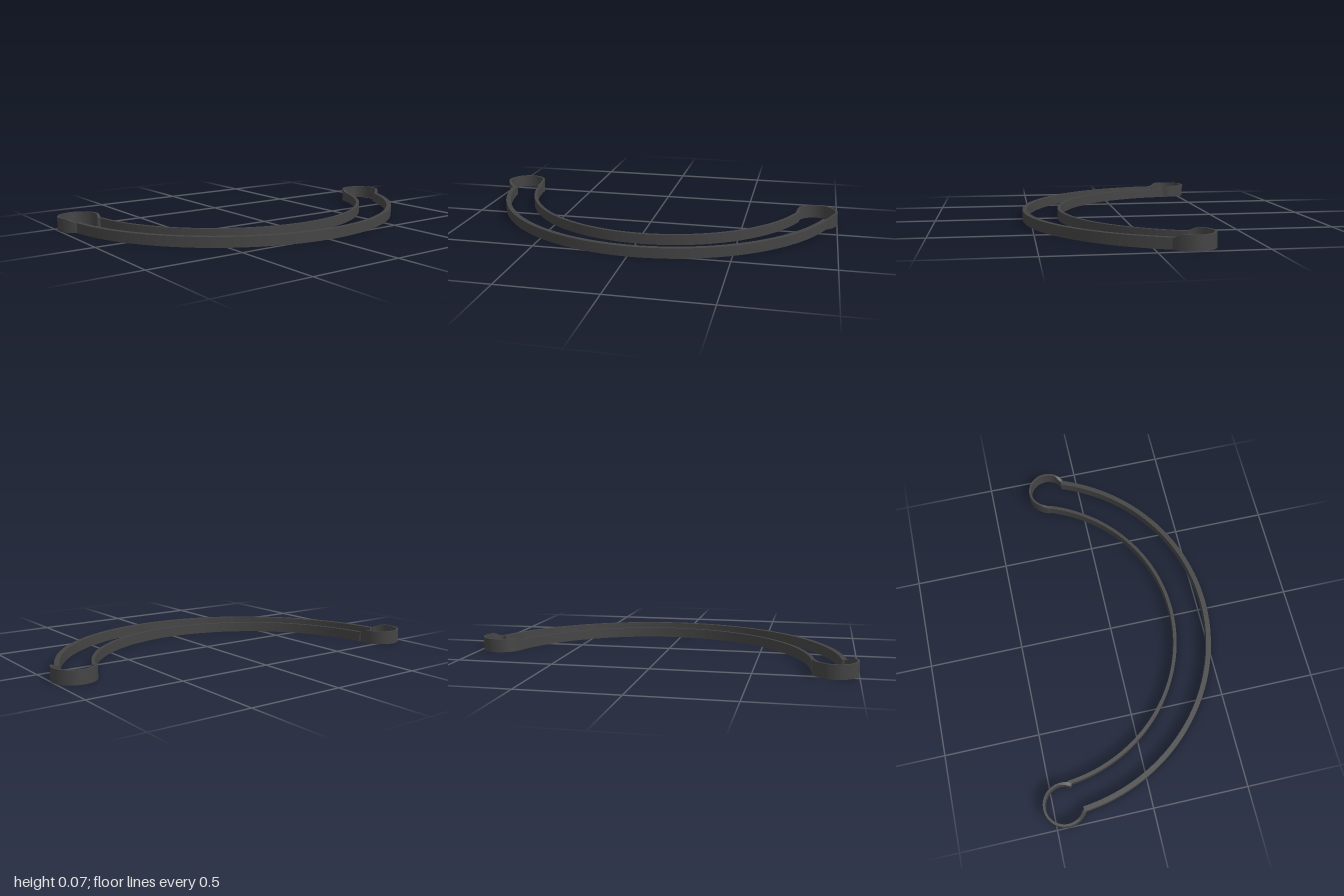
import * as THREE from 'three';

const material = new THREE.MeshStandardMaterial({ color: 0x444444 });
const RAIL_TOP = 0.053;
const LOOP_TOP = 0.071;

// Upright curved wall: a rectangular section swept round an arc in the floor plane.
// section(t) returns the half thickness and the height at t = 0..1.
function arcWall(name, cx, cz, radius, startDeg, endDeg, steps, section) {
  const rings = [];
  for (let i = 0; i <= steps; i++) {
    const t = i / steps;
    const a = THREE.MathUtils.degToRad(startDeg + (endDeg - startDeg) * t);
    const { half, top } = section(t);
    const corner = (r, y) => [cx + r * Math.cos(a), y, cz + r * Math.sin(a)];
    rings.push([
      corner(radius + half, 0), corner(radius + half, top),
      corner(radius - half, top), corner(radius - half, 0),
    ]);
  }
  const positions = [];
  const index = [];
  // each side has its own vertices, so the long edges stay sharp
  for (let k = 0; k < 4; k++) {
    const base = positions.length / 3;
    for (const ring of rings) positions.push(...ring[k], ...ring[(k + 1) % 4]);
    for (let i = 0; i < steps; i++) {
      const p = base + i * 2;
      index.push(p, p + 1, p + 3, p, p + 3, p + 2);
    }
  }
  // end caps
  const caps = [[rings[0], [0, 2, 1, 0, 3, 2]], [rings[steps], [0, 1, 2, 0, 2, 3]]];
  for (const [ring, order] of caps) {
    const base = positions.length / 3;
    positions.push(...ring.flat());
    index.push(...order.map((n) => base + n));
  }
  const geometry = new THREE.BufferGeometry();
  geometry.setAttribute('position', new THREE.Float32BufferAttribute(positions, 3));
  geometry.setIndex(index);
  geometry.computeVertexNormals();
  const mesh = new THREE.Mesh(geometry, material);
  mesh.name = name;
  return mesh;
}

// Constant section for the two long rails
const rail = (half) => () => ({ half, top: RAIL_TOP });

// Taller, thinner section that ramps down to the rails at both ends
function loopSection(t) {
  const k = THREE.MathUtils.smoothstep(Math.min(t, 1 - t), 0, 0.13);
  return {
    half: THREE.MathUtils.lerp(0.009, 0.006, k),
    top: THREE.MathUtils.lerp(RAIL_TOP, LOOP_TOP, k),
  };
}

export function createModel() {
  const group = new THREE.Group();
  group.name = 'curvedBandFrame';
  // long rails
  group.add(arcWall('outerRail', -0.439, -0.032, 0.968, -68.7, 84.6, 96, rail(0.013)));
  group.add(arcWall('innerRail', -0.471, -0.026, 0.815, -69.2, 85, 96, rail(0.009)));
  // round loops closing both ends
  group.add(arcWall('frontEndLoop', -0.437, 0.89, 0.104, 28, 300, 64, loopSection));
  group.add(arcWall('backEndLoop', -0.175, -0.89, 0.104, -270, -27, 64, loopSection));
  return group;
}
